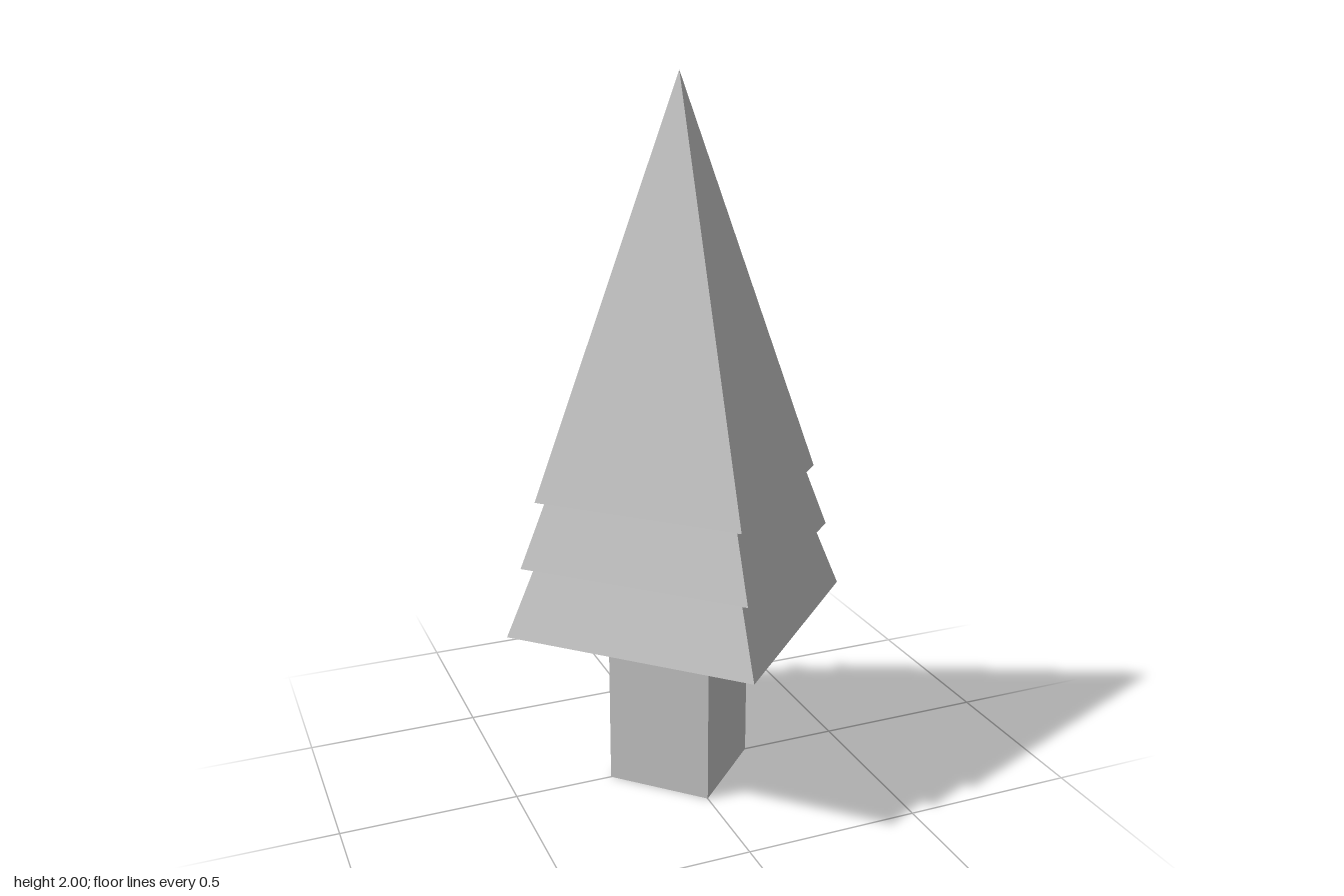
import * as THREE from 'three';

export function createModel() {
  const group = new THREE.Group();
  const material = new THREE.MeshStandardMaterial({ color: 0xcccccc, flatShading: true });

  const add = (name, geometry, baseY, height) => {
    const mesh = new THREE.Mesh(geometry, material);
    mesh.name = name;
    mesh.position.y = baseY + height / 2;
    group.add(mesh);
  };

  // Square trunk, corners on the x and z axes
  add('trunk', new THREE.CylinderGeometry(0.215, 0.215, 0.5, 4), 0, 0.5);

  // Three nested four-sided foliage tiers: name, radius, base, height
  const tiers = [
    ['lowerFoliage', 0.51, 0.5, 1.17],
    ['middleFoliage', 0.465, 0.695, 1.145],
    ['upperFoliage', 0.42, 0.88, 1.12],
  ];
  for (const [name, radius, baseY, height] of tiers) {
    add(name, new THREE.ConeGeometry(radius, height, 4), baseY, height);
  }

  return group;
}
